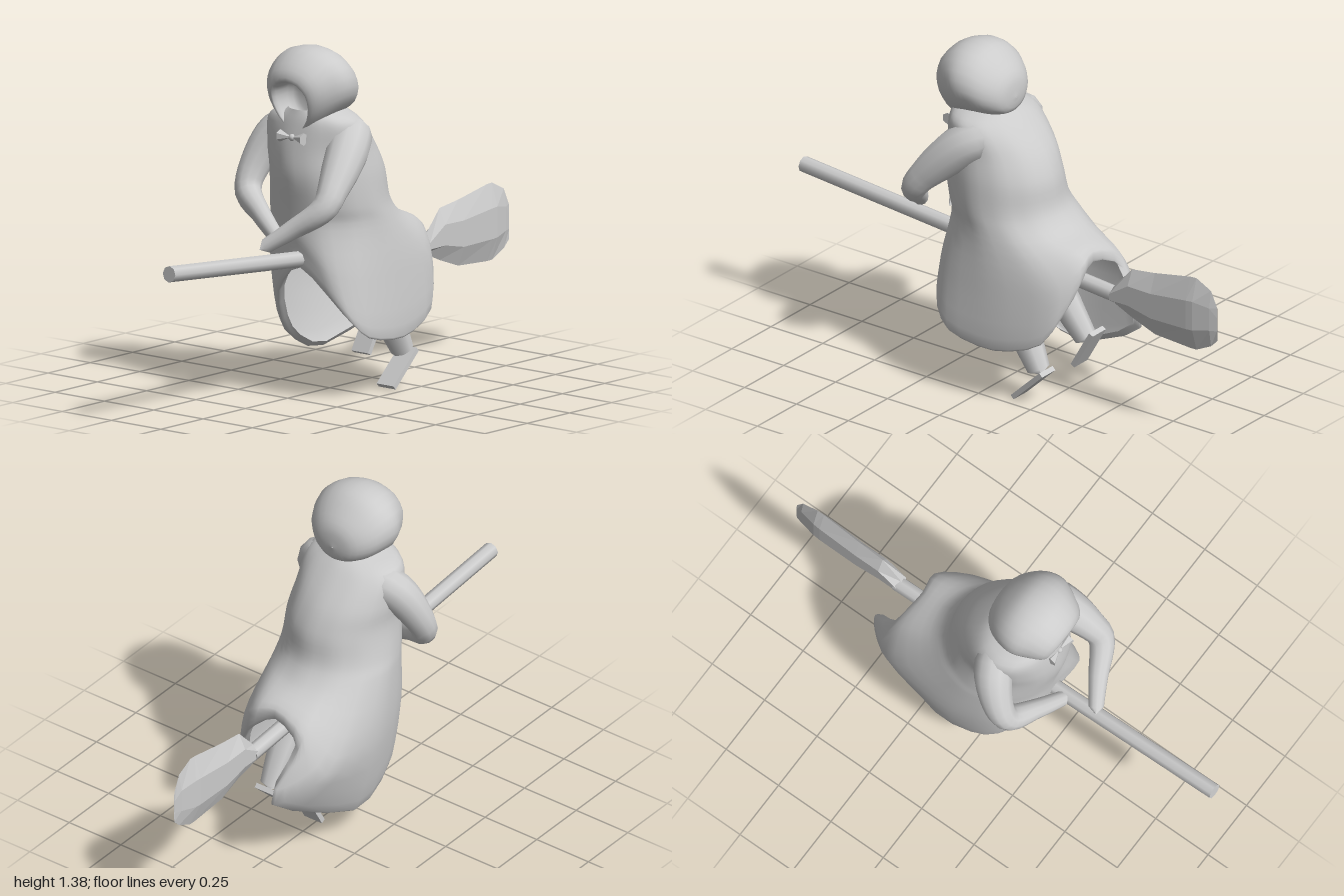
import * as THREE from 'three';

const material = new THREE.MeshStandardMaterial({ color: 0xcccccc, side: THREE.DoubleSide });
const flatMaterial = new THREE.MeshStandardMaterial({ color: 0xcccccc, side: THREE.DoubleSide, flatShading: true });
const V = (x, y, z) => new THREE.Vector3(x, y, z);

function part(name, geometry, mat = material) {
  const mesh = new THREE.Mesh(geometry, mat);
  mesh.name = name;
  return mesh;
}

// Skin a list of closed rings, each with the same number of points
function loft(rings) {
  const n = rings[0].length, index = [];
  for (let i = 0; i < rings.length - 1; i++) {
    for (let j = 0; j < n; j++) {
      const a = i * n + j, b = i * n + (j + 1) % n;
      index.push(a, b, a + n, b, b + n, a + n);
    }
  }
  const g = new THREE.BufferGeometry().setFromPoints(rings.flat());
  g.setIndex(index);
  g.computeVertexNormals();
  return g;
}

// Smooth the control rings both around and along the loft
function smoothLoft(rings, around, along) {
  const loops = rings.map(r => new THREE.CatmullRomCurve3(r, true, 'catmullrom', 0.4));
  const columns = [];
  for (let j = 0; j < around; j++) {
    const path = new THREE.CatmullRomCurve3(loops.map(c => c.getPoint(j / around)), false, 'centripetal');
    columns.push(path.getPoints(along));
  }
  return loft(columns[0].map((_, i) => columns.map(c => c[i])));
}

// Ring of n points, each made from the cosine and sine of its angle
function ring(n, fn) {
  return Array.from({ length: n }, (_, i) => {
    const a = i / n * Math.PI * 2;
    return fn(Math.cos(a), Math.sin(a));
  });
}

// Limb along a curve, its radius blended between the given values, closed at the tip
function limb(name, points, radii, sides = 12) {
  const curve = new THREE.CatmullRomCurve3(points.map(p => V(...p)), false, 'centripetal');
  const seg = 24, g = new THREE.TubeGeometry(curve, seg, 1, sides);
  const pos = g.attributes.position, p = V(0, 0, 0);
  for (let i = 0; i <= seg; i++) {
    const centre = curve.getPointAt(i / seg), t = i / seg * (radii.length - 1);
    const k = Math.min(Math.floor(t), radii.length - 2);
    const r = i === seg ? 0 : THREE.MathUtils.lerp(radii[k], radii[k + 1], t - k);
    for (let j = 0; j <= sides; j++) {
      const v = i * (sides + 1) + j;
      p.fromBufferAttribute(pos, v).sub(centre).multiplyScalar(r).add(centre);
      pos.setXYZ(v, p.x, p.y, p.z);
    }
  }
  return part(name, g);
}

function createCloak() {
  // Upper rings: y, x range, z range
  const upper = [
    [1.14, -0.24, -0.02, -0.06, 0.13], [1.09, -0.255, 0.04, -0.18, 0.215],
    [0.98, -0.275, 0.14, -0.195, 0.225], [0.88, -0.28, 0.19, -0.19, 0.24],
    [0.76, -0.26, 0.215, -0.21, 0.25], [0.69, -0.25, 0.275, -0.225, 0.255],
  ].map(([y, x0, x1, z0, z1]) => ring(12, (c, s) =>
    V((x0 + x1) / 2 + c * (x1 - x0) / 2, y, (z0 + z1) / 2 + s * (z1 - z0) / 2)));
  // Skirt rings run from the rear slit round by +z, the front slit and -z
  const middle = [
    [0.385, 0.63, 0.03], [0.4, 0.6, 0.13], [0.32, 0.5, 0.23], [0.08, 0.48, 0.28],
    [-0.13, 0.48, 0.265], [-0.225, 0.51, 0.19], [-0.24, 0.6, 0.04], [-0.22, 0.55, -0.1],
    [-0.1, 0.45, -0.2], [0.12, 0.4, -0.245], [0.38, 0.42, -0.21], [0.4, 0.58, -0.12],
  ];
  const hem = [
    [0.385, 0.585, 0.03], [0.39, 0.48, 0.16], [0.3, 0.29, 0.25], [0.1, 0.225, 0.29],
    [-0.11, 0.255, 0.295], [-0.205, 0.36, 0.24], [-0.235, 0.52, 0.05], [-0.19, 0.4, -0.1],
    [-0.06, 0.21, -0.17], [0.16, 0.12, -0.175], [0.54, 0.31, -0.07], [0.43, 0.52, -0.11],
  ];
  // The hem folds inward a little
  const fold = hem.map(([x, y, z]) => [0.1 + (x - 0.1) * 0.94, y + 0.02, 0.04 + (z - 0.04) * 0.88]);
  const rows = [...upper, ...[middle, hem, fold].map(r => r.map(p => V(...p)))];
  return part('cloak', smoothLoft(rows, 36, 36));
}

function createHood() {
  // x, centre y, half height, half width, forward lean; the last rows fold in as the face opening
  const rows = [
    [0.02, 1.185, 0.002, 0.002, 0], [0.008, 1.195, 0.07, 0.085, 0], [-0.04, 1.215, 0.11, 0.145, 0],
    [-0.1, 1.235, 0.135, 0.175, 0], [-0.16, 1.235, 0.145, 0.18, 0.005], [-0.215, 1.215, 0.148, 0.155, 0.015],
    [-0.262, 1.18, 0.128, 0.12, 0.03], [-0.275, 1.16, 0.105, 0.09, 0.03],
    [-0.255, 1.16, 0.095, 0.08, 0.03], [-0.17, 1.17, 0.08, 0.075, 0.01], [-0.15, 1.18, 0.002, 0.002, 0],
  ].map(([x, y, h, w, lean]) => ring(12, (c, s) => V(x - c * lean, y + c * h, 0.035 + s * w * (1 + c * lean * 8))));
  return part('hood', smoothLoft(rows, 24, 30));
}

function createBristles() {
  // Flat, pointed section: x, top, bottom, half thickness
  const rows = [
    [0.49, 0.5, 0.47, 0.01], [0.5, 0.52, 0.455, 0.03], [0.59, 0.62, 0.415, 0.03],
    [0.7, 0.635, 0.375, 0.03], [0.87, 0.668, 0.365, 0.03], [0.9, 0.67, 0.366, 0.028],
    [0.97, 0.635, 0.4, 0.012], [1, 0.57, 0.43, 0.002],
  ].map(([x, top, bottom, w]) => [[0, 0], [0.3, 1], [0.7, 1], [1, 0], [0.7, -1], [0.3, -1]]
    .map(([t, s]) => V(x, THREE.MathUtils.lerp(top, bottom, t), 0.05 + s * w)));
  return part('bristles', loft(rows), flatMaterial);
}

function createBroomstick() {
  const a = V(-1, 0.617, 0.042), b = V(0.52, 0.488, 0.046);
  const stick = part('broomstick', new THREE.CylinderGeometry(0.032, 0.032, a.distanceTo(b), 8));
  stick.position.copy(a).add(b).multiplyScalar(0.5);
  stick.quaternion.setFromUnitVectors(V(0, 1, 0), b.clone().sub(a).normalize());
  return stick;
}

// Thin shoe with its sole turned to the rear
function createShoe(name, x, y, z, length, angle) {
  const shoe = part(name, new THREE.BoxGeometry(length, 0.02, 0.085), flatMaterial);
  shoe.position.set(x, y, z);
  shoe.rotation.z = angle;
  return shoe;
}

export function createModel() {
  const model = new THREE.Group();
  model.name = 'broomRider';
  model.add(createCloak(), createHood(), createBroomstick(), createBristles());

  // Sleeves reaching forward to the stick
  model.add(
    limb('leftArm', [[0, 1.04, 0.1], [-0.1, 1.01, 0.185], [-0.26, 0.86, 0.24], [-0.315, 0.79, 0.24], [-0.38, 0.7, 0.13], [-0.445, 0.62, 0.025]],
      [0.03, 0.085, 0.085, 0.075, 0.06, 0.05, 0.042, 0.034, 0.028]),
    limb('rightArm', [[-0.06, 1.04, -0.04], [-0.1, 1.01, -0.17], [-0.18, 0.85, -0.24], [-0.215, 0.78, -0.23], [-0.265, 0.71, -0.12], [-0.315, 0.625, 0.02]],
      [0.03, 0.08, 0.075, 0.065, 0.055, 0.05, 0.04, 0.034, 0.028]));

  // Legs hanging on either side of the stick
  model.add(
    limb('leftLeg', [[0, 0.58, 0.13], [0.08, 0.4, 0.155], [0.17, 0.25, 0.165], [0.24, 0.12, 0.17]],
      [0.06, 0.05, 0.05, 0.066, 0.055, 0.042], 8),
    limb('rightLeg', [[0.04, 0.58, -0.02], [0.14, 0.42, -0.045], [0.22, 0.3, -0.05], [0.3, 0.19, -0.055]],
      [0.06, 0.05, 0.045, 0.06, 0.052, 0.042], 8),
    createShoe('leftShoe', 0.203, 0.074, 0.17, 0.19, 0.76),
    createShoe('rightShoe', 0.297, 0.168, -0.058, 0.18, 1.05));

  // Bow at the throat
  const bow = new THREE.Group();
  bow.name = 'bow';
  for (const side of [-1, 1]) {
    const loop = part('bowLoop', new THREE.ConeGeometry(0.025, 0.06, 6), flatMaterial);
    loop.position.z = side * 0.03;
    loop.rotation.x = -side * Math.PI / 2;
    bow.add(loop);
  }
  bow.add(part('bowKnot', new THREE.SphereGeometry(0.014, 8, 6)));
  bow.position.set(-0.265, 1.035, 0.035);
  model.add(bow);
  return model;
}
